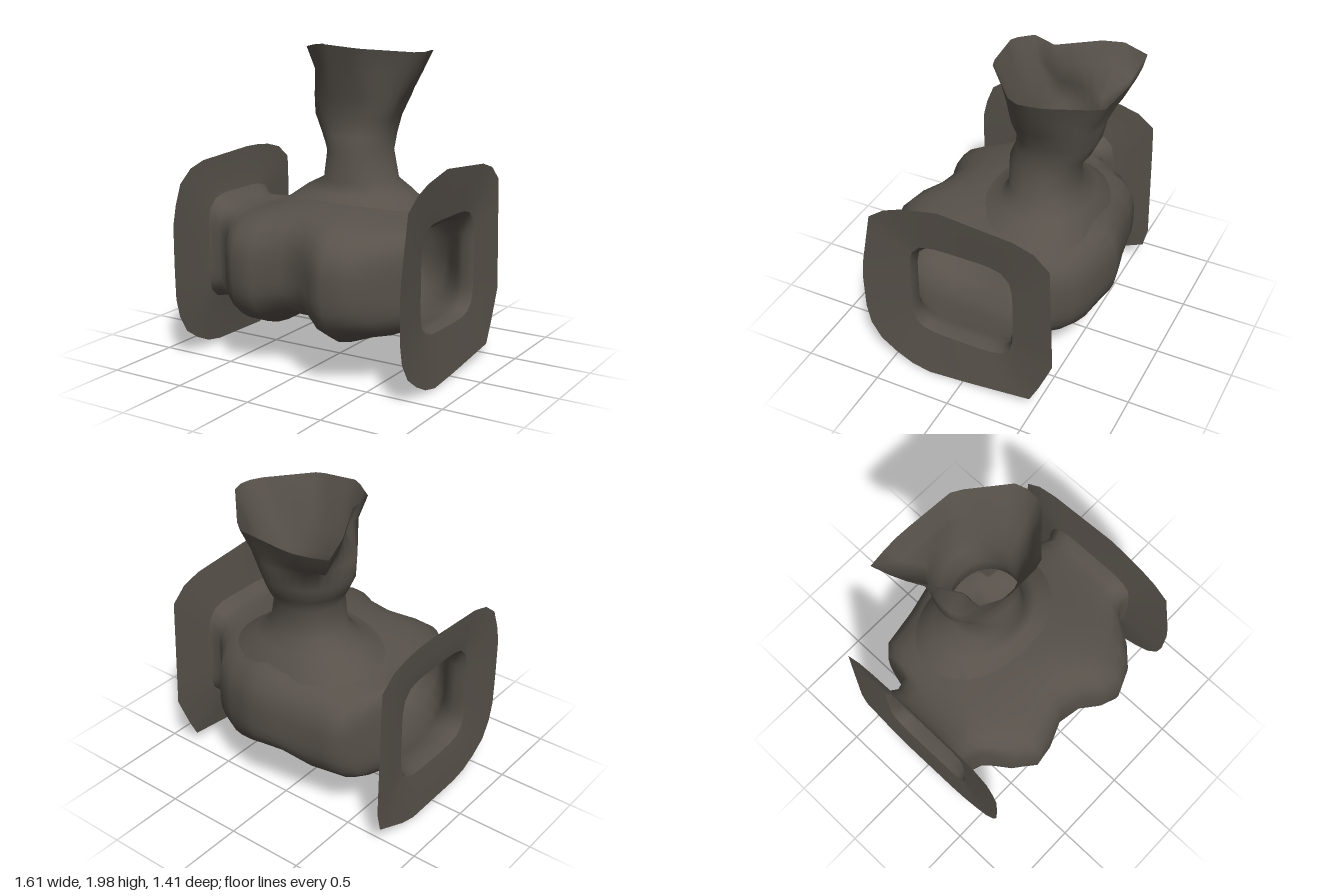
import * as THREE from 'three';

const SEG = 36;
const angles = Array.from({ length: SEG }, (_, j) => (j / SEG) * Math.PI * 2);

// Joins closed rings of points into one smooth shell; skip() leaves openings
function loft(rings, skip = () => false) {
  const index = [];
  for (let i = 0; i < rings.length - 1; i++) {
    for (let j = 0; j < SEG; j++) {
      const k = (j + 1) % SEG;
      const corners = [rings[i][j], rings[i][k], rings[i + 1][j], rings[i + 1][k]];
      const mid = [0, 1, 2].map((n) => corners.reduce((sum, p) => sum + p[n], 0) / 4);
      if (skip(...mid)) continue;
      const a = i * SEG + j, b = i * SEG + k, c = a + SEG, d = b + SEG;
      index.push(a, c, b, b, c, d);
    }
  }
  const geometry = new THREE.BufferGeometry();
  geometry.setAttribute('position', new THREE.Float32BufferAttribute(rings.flat(2), 3));
  geometry.setIndex(index);
  geometry.computeVertexNormals();
  return geometry;
}

// Rounded-square point with separate half sizes on each side
function superPoint(angle, uMin, uMax, vMin, vMax, n) {
  const c = Math.cos(angle), s = Math.sin(angle);
  const r = (Math.abs(c) ** n + Math.abs(s) ** n) ** (-1 / n);
  return [c * r * (c > 0 ? uMax : -uMin), s * r * (s > 0 ? vMax : -vMin)];
}

// Point where a ray from the origin at this angle meets a polygon [u, v, extra]
function polygonPoint(angle, polygon) {
  const c = Math.cos(angle), s = Math.sin(angle);
  for (let i = 0; i < polygon.length; i++) {
    const p = polygon[i], q = polygon[(i + 1) % polygon.length];
    const sp = c * p[1] - s * p[0], sq = c * q[1] - s * q[0];
    if (sp * sq > 0 || sp === sq) continue;
    const t = sp / (sp - sq);
    const hit = p.map((value, n) => value + (q[n] - value) * t);
    if (hit[0] * c + hit[1] * s > 0) return hit;
  }
  return polygon[0];
}

const AXIS_Y = 0.65;

// Body cross-sections: x, top, bottom, front, back, squareness
const BODY = [
  [-0.77, 1.02, 0.33, 0.35, -0.34, 5],
  [-0.70, 0.96, 0.35, 0.33, -0.30, 6],
  [-0.62, 0.96, 0.33, 0.36, -0.33, 5],
  [-0.57, 0.95, 0.31, 0.43, -0.53, 3.4],
  [-0.50, 0.96, 0.28, 0.53, -0.60, 3.2],
  [-0.38, 0.99, 0.26, 0.63, -0.62, 3],
  [-0.25, 1.02, 0.25, 0.61, -0.64, 3],
  [-0.08, 1.04, 0.34, 0.54, -0.68, 3.3],
  [0.08, 1.04, 0.35, 0.57, -0.71, 3.4],
  [0.20, 1.03, 0.27, 0.66, -0.67, 3.2],
  [0.31, 1.02, 0.23, 0.70, -0.65, 3],
  [0.45, 0.99, 0.28, 0.64, -0.59, 3],
  [0.55, 0.97, 0.30, 0.54, -0.47, 3.2],
  [0.64, 0.96, 0.34, 0.39, -0.37, 4],
  [0.71, 0.96, 0.35, 0.33, -0.31, 6],
  [0.77, 1.01, 0.33, 0.35, -0.34, 5],
];

// Irregular flange outlines: z, y
const LEFT_OUTLINE = [
  [0.67, 0.70], [0.58, 1.17], [0.40, 1.26], [0.12, 1.32], [-0.44, 1.27], [-0.59, 1.17],
  [-0.62, 0.42], [-0.48, 0.09], [-0.05, 0.04], [0.29, 0.01], [0.55, 0.14], [0.66, 0.32],
];
const RIGHT_OUTLINE = [
  [0.66, 0.62], [0.66, 0.94], [0.57, 1.17], [0.42, 1.25], [-0.17, 1.28], [-0.45, 1.25],
  [-0.59, 1.14], [-0.61, 0.18], [-0.27, 0.03], [0.30, 0.04], [0.54, 0.15], [0.65, 0.34],
];

// Neck sections: y, left edge, right edge, front, back
const NECK_X = 0.03, NECK_Z = -0.22;
const NECK = [
  [1.07, -0.35, 0.36, 0.06, -0.50],
  [1.14, -0.21, 0.27, 0.02, -0.43],
  [1.32, -0.18, 0.23, 0.02, -0.42],
  [1.42, -0.24, 0.23, -0.02, -0.49],
  [1.53, -0.30, 0.25, -0.04, -0.54],
  [1.66, -0.30, 0.32, -0.01, -0.57],
];

// Torn rim of the neck: x, z, y
const RIM = [
  [0.47, -0.18, 1.95], [0.18, 0.08, 1.98], [-0.10, 0.09, 2.0], [-0.25, 0.0, 1.97], [-0.23, -0.12, 1.94],
  [-0.43, -0.45, 1.96], [-0.46, -0.64, 1.88], [-0.20, -0.66, 1.86], [0.20, -0.63, 1.87], [0.47, -0.35, 1.96],
].map(([x, z, y]) => [x - NECK_X, z - NECK_Z, y]);

// The underside is pushed up between the lumps, towards the back
const bodyRing = ([x, top, bottom, front, back, n]) => angles.map((a) => {
  const [z, y] = superPoint(a, back, front, bottom - AXIS_Y, top - AXIS_Y, n);
  const dent = 0.1 * Math.exp(-((x / 0.25) ** 2) - ((z + 0.15) / 0.25) ** 2);
  return [x, y + AXIS_Y + (y < 0 ? dent : 0), z];
});

const flangeRing = (outline, x, scale) => angles.map((a) => {
  const [z, y] = polygonPoint(a, outline.map(([u, v]) => [u, v - AXIS_Y]));
  return [x, y * scale + AXIS_Y, z * scale];
});

const neckRing = ([y, xMin, xMax, front, back]) => angles.map((a) => {
  const [x, z] = superPoint(a, xMin - NECK_X, xMax - NECK_X, back - NECK_Z, front - NECK_Z, 2.1);
  return [x + NECK_X, y, z + NECK_Z];
});

const rimRing = (scale, drop) => angles.map((a) => {
  const [x, z, y] = polygonPoint(a, RIM);
  return [x * scale + NECK_X, y - drop, z * scale + NECK_Z];
});

export function createModel() {
  const model = new THREE.Group();
  const castIron = new THREE.MeshStandardMaterial({ color: 0x57514a, side: THREE.DoubleSide });
  castIron.name = 'dark cast iron';

  const add = (name, geometry) => {
    const mesh = new THREE.Mesh(geometry, castIron);
    mesh.name = name;
    model.add(mesh);
  };

  // Hollow lumpy barrel, open under the neck
  const rings = BODY.map(bodyRing);
  const underNeck = (x, y, z) =>
    y > 0.85 && ((x - NECK_X) / 0.28) ** 2 + ((z - NECK_Z) / 0.28) ** 2 < 1;
  add('barrel', loft(rings, underNeck));

  // Thin flared end flanges
  const right = (x, scale) => flangeRing(RIGHT_OUTLINE, x, scale);
  const left = (x, scale) => flangeRing(LEFT_OUTLINE, x, scale);
  add('rightFlange', loft([right(-0.80, 1), right(-0.79, 0.76), rings[0]]));
  add('leftFlange', loft([rings[rings.length - 1], left(0.79, 0.76), left(0.81, 1)]));

  // Neck skirt settles onto the curved top of the barrel
  const skirt = neckRing([0, -0.48, 0.50, 0.15, -0.58]).map(([x, , z]) => {
    const drop = (1 - Math.abs(z / 0.66) ** 3) ** (1 / 3);
    return [x, AXIS_Y + (0.39 - 0.28 * x * x) * drop, z];
  });
  add('neck', loft([skirt, ...NECK.map(neckRing), rimRing(0.85, 0.14), rimRing(1, 0)]));

  return model;
}
